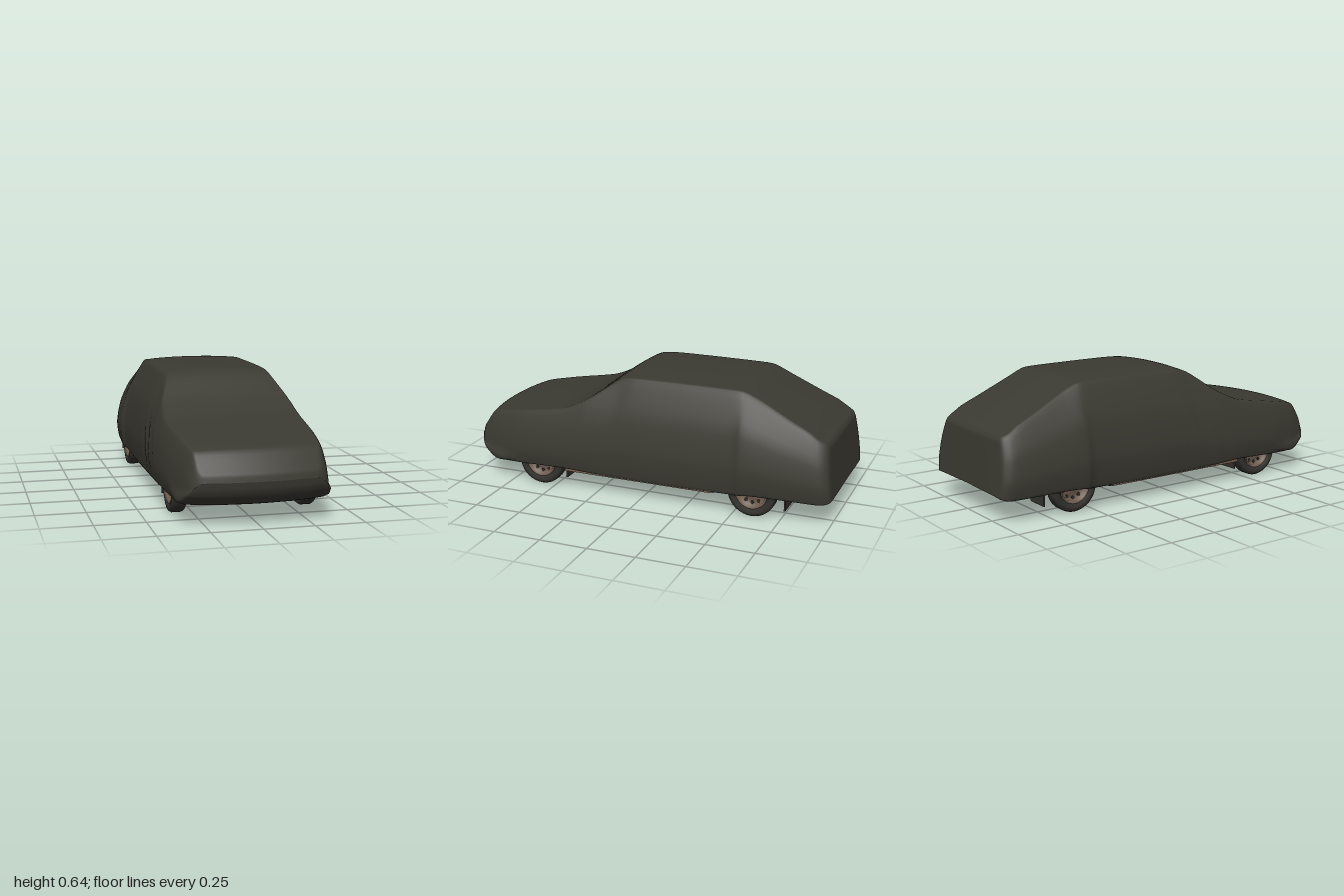
import * as THREE from 'three';

const paint = (name, color) => {
  const m = new THREE.MeshStandardMaterial({ color });
  m.name = name;
  return m;
};
const vectors = pts => pts.map(p => new THREE.Vector3(...p));
const lerp = THREE.MathUtils.lerp, smoothstep = THREE.MathUtils.smoothstep;

// Half outline of one cover section, from the tucked hem over the sill, belt and shoulder
function coverSection([z, hemW, hemY, topW, topY], cols) {
  const wideW = hemW * 1.03, height = topY - hemY;
  const inset = Math.min(topW, 0.04);
  const half = [
    z > 0.8 ? [0, hemY - height * 0.03, z] : [hemW * 0.95, hemY + 0.01, z],
    [hemW, hemY, z],
    [wideW, hemY + height * 0.27, z],
    [lerp(wideW, topW, 0.31), hemY + height * 0.63, z],
    [topW, topY - height * 0.055, z],
    [topW - inset, topY - height * 0.02, z],
    [(topW - inset) / 2, topY - height * 0.004, z],
  ];
  const mirrored = half.map(([x, y]) => [-x, y, z]).reverse();
  const ring = vectors([...half, [0, topY, z], ...mirrored]);
  return new THREE.CatmullRomCurve3(ring, false, 'catmullrom', 0.4).getPoints(cols);
}

function coverGeometry() {
  // z, hem half width, hem height, top half width, top height
  const stations = [
    [1.0, 0.27, 0.222, 0.26, 0.222],
    [0.992, 0.30, 0.185, 0.28, 0.255],
    [0.972, 0.325, 0.15, 0.30, 0.285],
    [0.92, 0.342, 0.112, 0.31, 0.355],
    [0.86, 0.355, 0.10, 0.322, 0.374],
    [0.70, 0.376, 0.11, 0.338, 0.40],
    [0.45, 0.388, 0.12, 0.35, 0.443],
    [0.30, 0.386, 0.115, 0.335, 0.515],
    [0.15, 0.38, 0.11, 0.286, 0.62],
    [0.05, 0.38, 0.11, 0.286, 0.636],
    [-0.2, 0.38, 0.11, 0.285, 0.638],
    [-0.48, 0.38, 0.115, 0.282, 0.636],
    [-0.54, 0.392, 0.12, 0.278, 0.625],
    [-0.62, 0.388, 0.125, 0.278, 0.588],
    [-0.80, 0.372, 0.12, 0.295, 0.499],
    [-0.94, 0.354, 0.115, 0.30, 0.438],
    [-0.983, 0.33, 0.122, 0.285, 0.416],
    [-0.995, 0.285, 0.13, 0.25, 0.395],
    [-0.997, 0, 0.135, 0, 0.385],
  ];
  const cols = 60, rows = (stations.length - 1) * 4;
  const sections = stations.map(s => coverSection(s, cols));
  const lanes = sections[0].map((_, i) =>
    new THREE.CatmullRomCurve3(sections.map(s => s[i]), false, 'catmullrom', 0.35).getPoints(rows));
  const pos = [], index = [];
  for (let j = 0; j <= rows; j++) {
    for (let i = 0; i <= cols; i++) {
      const { x, y, z } = lanes[i][j];
      // rounded nose in plan, leaning tail, faint drape folds on the doors
      const bow = 0.05 * smoothstep(z, 0.6, 1) * (x / 0.36) ** 2;
      const lean = 0.12 * (y - 0.16) * smoothstep(-z, 0.85, 0.97);
      const folded = Math.max(0, 1 - Math.abs(y - 0.3) / 0.18) * Math.max(0, 1 - Math.abs(z - 0.2) / 0.25);
      pos.push(x + Math.sign(x) * 0.005 * folded * Math.sin(z * 55 + y * 22), y, z - bow + lean);
      if (i < cols && j < rows) {
        const a = j * (cols + 1) + i, b = a + cols + 1;
        index.push(a, b, a + 1, b, b + 1, a + 1);
      }
    }
  }
  const geo = new THREE.BufferGeometry();
  geo.setAttribute('position', new THREE.Float32BufferAttribute(pos, 3));
  geo.setIndex(index);
  geo.computeVertexNormals();
  return geo;
}

export function createModel() {
  const model = new THREE.Group();
  model.name = 'coveredCar';
  const cloth = paint('cloth', 0x3b3a32);
  cloth.side = THREE.DoubleSide;
  const rubber = paint('rubber', 0x34332e);
  const wheelMetal = paint('wheelMetal', 0x6c5a4d);
  const rust = paint('rust', 0x6b4232);
  const darkRust = paint('darkRust', 0x4a2e25);
  const underseal = paint('underseal', 0x2c2c28);
  const sillPaint = paint('sillPaint', 0x7a6251);

  const add = (name, geo, mat, x = 0, y = 0, z = 0, parent = model) => {
    const mesh = new THREE.Mesh(geo, mat);
    mesh.name = name;
    mesh.position.set(x, y, z);
    parent.add(mesh);
    return mesh;
  };
  const box = (name, mat, w, h, d, x, y, z) => add(name, new THREE.BoxGeometry(w, h, d), mat, x, y, z);
  const pipe = (name, mat, r, pts) => add(name, new THREE.TubeGeometry(
    new THREE.CatmullRomCurve3(vectors(pts), false, 'catmullrom', 0.15), 48, r, 8), mat);

  add('clothCover', coverGeometry(), cloth);

  // Wheels: lathed tyre, dished rim, hub and vent holes
  const tyreProfile = [[0.082, -0.03], [0.105, -0.037], [0.12, -0.034], [0.127, -0.022], [0.127, 0.022],
    [0.12, 0.034], [0.105, 0.037], [0.082, 0.03], [0.082, -0.03]].map(p => new THREE.Vector2(...p));
  const rimProfile = [[0.084, 0.032], [0.074, 0.03], [0.068, 0.012], [0.045, 0.008], [0.03, 0.018], [0, 0.016]]
    .map(p => new THREE.Vector2(...p));
  const makeWheel = (name, sx, z) => {
    const wheel = new THREE.Group();
    wheel.name = name;
    wheel.position.set(sx * 0.328, 0.127, z);
    wheel.rotation.z = -sx * Math.PI / 2;
    add('tyre', new THREE.LatheGeometry(tyreProfile, 36), rubber, 0, 0, 0, wheel);
    add('rim', new THREE.LatheGeometry(rimProfile, 36), wheelMetal, 0, 0, 0, wheel);
    add('hub', new THREE.CylinderGeometry(0.018, 0.022, 0.014, 16), wheelMetal, 0, 0.022, 0, wheel);
    add('backPlate', new THREE.CylinderGeometry(0.083, 0.083, 0.02, 28), underseal, 0, -0.015, 0, wheel);
    for (let k = 0; k < 10; k++) {
      const a = k * Math.PI / 5;
      add('ventHole', new THREE.CylinderGeometry(0.009, 0.009, 0.004, 10), underseal,
        0.057 * Math.cos(a), 0.0105, 0.057 * Math.sin(a), wheel);
    }
    model.add(wheel);
  };

  // Floor and running gear
  box('floorPan', underseal, 0.7, 0.012, 0.86, 0, 0.118, -0.02);
  box('frontFloor', underseal, 0.56, 0.012, 0.44, 0, 0.15, 0.62);
  box('rearFloor', underseal, 0.56, 0.012, 0.42, 0, 0.16, -0.63);
  box('tailFloor', underseal, 0.6, 0.012, 0.15, 0, 0.14, -0.88);
  box('engineSump', underseal, 0.16, 0.06, 0.2, -0.02, 0.125, 0.68);
  box('gearbox', underseal, 0.1, 0.04, 0.26, -0.02, 0.12, 0.42);
  box('frontCrossmember', underseal, 0.5, 0.035, 0.05, 0, 0.1, 0.56);
  pipe('rearAxle', underseal, 0.02, [[-0.31, 0.125, -0.6], [0, 0.125, -0.6], [0.31, 0.125, -0.6]]);

  for (const s of [1, -1]) {
    const side = s > 0 ? 'left' : 'right';
    makeWheel(side + 'FrontWheel', s, 0.58);
    makeWheel(side + 'RearWheel', s, -0.60);
    box(side + 'Sill', sillPaint, 0.012, 0.024, 0.82, s * 0.37, 0.112, 0.02);
    box(side + 'SillFlange', underseal, 0.014, 0.026, 0.84, s * 0.357, 0.112, 0.02);
    box(side + 'FloorRail', underseal, 0.035, 0.02, 0.6, s * 0.2, 0.106, 0.1);
    box(side + 'FrontMudFlap', rubber, 0.122, 0.085, 0.008, s * 0.3, 0.1, 0.425);
    box(side + 'RearMudFlap', rubber, 0.122, 0.09, 0.008, s * 0.3, 0.103, -0.775);
    box(side + 'TrailingArm', underseal, 0.03, 0.025, 0.3, s * 0.24, 0.115, -0.47);
    pipe(side + 'ControlArm', underseal, 0.012, [[s * 0.1, 0.11, 0.5], [s * 0.2, 0.1, 0.55], [s * 0.3, 0.1, 0.58]]);
    pipe(side + 'TensionRod', underseal, 0.008, [[s * 0.18, 0.12, 0.76], [s * 0.24, 0.11, 0.66], [s * 0.29, 0.1, 0.59]]);
  }

  // Rust patches on the floor
  for (const [x, z, w, d] of [[-0.27, 0.2, 0.09, 0.12], [-0.15, -0.3, 0.12, 0.1]]) {
    box('rustPatch', darkRust, w, 0.004, d, x, 0.111, z);
  }

  // Exhaust
  const muffler = (name, radius, length, x, y, z) => {
    const can = add(name, new THREE.CylinderGeometry(radius, radius, length, 20), rust, x, y, z);
    can.rotation.x = Math.PI / 2;
    can.scale.z = 0.6;
  };
  pipe('frontExhaustPipe', rust, 0.012, [[0.09, 0.13, 0.7], [0.125, 0.108, 0.62], [0.1, 0.105, 0.5], [0, 0.105, 0.22]]);
  muffler('middleMuffler', 0.038, 0.19, 0, 0.112, 0.125);
  pipe('rearExhaustPipe', rust, 0.012, [[0, 0.105, 0.04], [0, 0.105, -0.26], [0.1, 0.106, -0.4],
    [0.21, 0.11, -0.51], [0.2, 0.13, -0.62], [0.18, 0.135, -0.78]]);
  muffler('rearMuffler', 0.045, 0.18, 0.17, 0.132, -0.85);

  return model;
}
